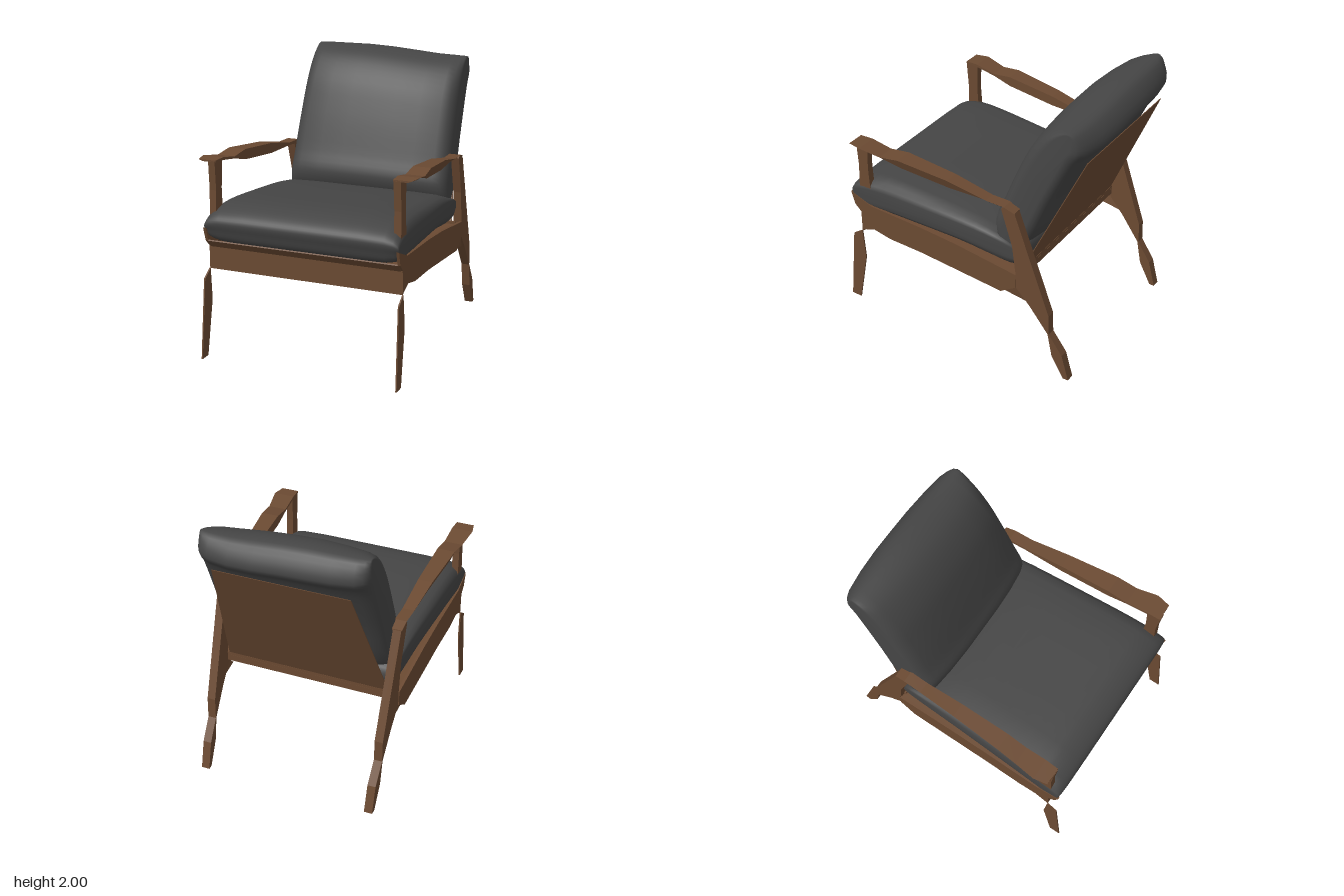
import * as THREE from 'three';

const wood = new THREE.MeshStandardMaterial({ color: 0x6b4a32, side: THREE.DoubleSide });
wood.name = 'walnut wood';
const fabric = new THREE.MeshStandardMaterial({ color: 0x454545, side: THREE.DoubleSide });
fabric.name = 'charcoal fabric';

function add(group, name, geometry, material) {
  const mesh = new THREE.Mesh(geometry, material);
  mesh.name = name;
  group.add(mesh);
}

// Skin a list of equal rings of [x, y, z] and close both ends
function loft(rings) {
  const n = rings[0].length, pos = rings.flat(2), idx = [];
  for (let i = 0; i < rings.length - 1; i++) {
    for (let j = 0; j < n; j++) {
      const k = (j + 1) % n, a = i * n + j, b = i * n + k;
      idx.push(a, b, b + n, a, b + n, a + n);
    }
  }
  [0, rings.length - 1].forEach((r, end) => {
    const c = pos.length / 3;
    for (let q = 0; q < 3; q++) pos.push(rings[r].reduce((s, p) => s + p[q], 0) / n);
    for (let j = 0; j < n; j++) {
      const a = r * n + j, b = r * n + (j + 1) % n;
      idx.push(c, ...(end ? [a, b] : [b, a]));
    }
  });
  const g = new THREE.BufferGeometry();
  g.setAttribute('position', new THREE.Float32BufferAttribute(pos, 3));
  g.setIndex(idx);
  g.computeVertexNormals();
  return g;
}

function flat(g) {
  const f = g.toNonIndexed();
  f.computeVertexNormals();
  return f;
}

// Plate cut from a [z, y] outline, placed sideways by the rule xAt(z, y)
function plate(outline, thick, xAt) {
  const g = new THREE.ExtrudeGeometry(
    new THREE.Shape(outline.map(p => new THREE.Vector2(...p))),
    { depth: thick, bevelEnabled: false });
  g.translate(0, 0, -thick / 2).rotateY(-Math.PI / 2);
  const p = g.attributes.position;
  for (let i = 0; i < p.count; i++) p.setX(i, p.getX(i) + xAt(p.getZ(i), p.getY(i)));
  g.computeVertexNormals();
  return g;
}

// Pillow: a [z, y] side profile swept across x; ends lists [position, thickness]
function pillow(profile, ends, centre, slope, halfWidth, adjust) {
  const curve = new THREE.CatmullRomCurve3(
    profile.map(([z, y]) => new THREE.Vector3(0, y, z)), true);
  const pts = curve.getPoints(56).slice(0, -1);
  const stations = [...ends.map(([t, s]) => [-t, s]), [0, 1], ...ends.slice().reverse()];
  const nz = Math.cos(slope), ny = Math.sin(slope);
  return loft(stations.map(([t, s]) => pts.map(p => {
    const dz = p.z - centre[0], dy = p.y - centre[1];
    const thick = (dz * nz + dy * ny) * s;
    const along = (-dz * ny + dy * nz) * (1 - (1 - s) * 0.04);
    const z = centre[0] + thick * nz - along * ny;
    const y = centre[1] + thick * ny + along * nz;
    const x = t * halfWidth(z, y);
    return [x, y + adjust(x, y), z];
  })));
}

export function createModel() {
  const chair = new THREE.Group();
  chair.name = 'lounge chair';

  // Cushions
  add(chair, 'seatCushion', pillow(
    [[0.72, 1.11], [0.87, 1.055], [0.915, 1.0], [0.9, 0.93], [0.86, 0.85], [0.5, 0.83], [0, 0.81],
      [-0.44, 0.765], [-0.49, 0.83], [-0.47, 0.93], [-0.25, 1.03], [0.2, 1.09]],
    [[1, 0.45], [0.985, 0.65], [0.94, 0.82], [0.85, 0.95], [0.6, 1], [0.3, 1]],
    [0.2, 0.94], Math.PI / 2, z => 0.67 + 0.05 * z, () => 0), fabric);
  add(chair, 'backCushion', pillow(
    [[-0.63, 1.95], [-0.49, 1.8], [-0.38, 1.57], [-0.27, 1.27], [-0.215, 1.11], [-0.27, 0.98],
      [-0.42, 0.93], [-0.55, 0.98], [-0.73, 1.4], [-0.89, 1.74], [-0.96, 1.84], [-0.88, 1.98], [-0.78, 2.0]],
    [[1, 0.4], [0.985, 0.58], [0.94, 0.72], [0.85, 0.84], [0.6, 0.95], [0.3, 1]],
    [-0.57, 1.45], 0.4, (z, y) => 0.65 - 0.025 * y,
    (x, y) => -0.04 * Math.max(0, y - 1) * (x > -0.1 ? Math.min(1, (x + 0.1) * 2) : 0)), fabric);

  for (const s of [1, -1]) {
    const side = new THREE.Group();
    side.name = s > 0 ? 'leftFrame' : 'rightFrame';
    chair.add(side);

    // Side rail, sweeping up at the front corner
    add(side, 'sideRail', plate(
      [[0.83, 0.64], [0.83, 0.8], [0.88, 0.85], [0.91, 0.95], [0.84, 0.92], [0.74, 0.88], [0.3, 0.86],
        [0, 0.835], [-0.49, 0.77], [-0.49, 0.66], [-0.37, 0.58], [0.3, 0.64], [0.58, 0.65], [0.72, 0.68]],
      0.02, z => s * (0.69 + 0.02 * z)), wood);

    // Slanted brace between rail and back leg
    add(side, 'rearBrace', plate(
      [[-0.36, 0.58], [-0.485, 0.665], [-0.6, 0.54], [-0.54, 0.555]],
      0.012, (z, y) => s * (0.675 - 0.2 * (0.665 - y))), wood);

    // Front post and thin front leg
    add(side, 'frontPost', plate(
      [[0.84, 0.9], [0.83, 1.2], [0.845, 1.405], [0.74, 1.4], [0.75, 1.2], [0.73, 0.87]],
      0.05, (z, y) => s * (0.68 - 0.01 * (y - 0.9))), wood);
    add(side, 'frontLeg', plate(
      [[0.83, 0.635], [0.91, 0.58], [0.965, 0], [0.885, 0], [0.81, 0.4]],
      0.01, (z, y) => s * (0.727 - 0.015 * y)), wood);

    // Back leg: tapering upright, pinched above the foot
    add(side, 'backLeg', plate(
      [[-0.4, 1.3], [-0.48, 1.27], [-0.75, 0.51], [-0.755, 0.35], [-0.86, 0.2], [-0.915, 0],
        [-0.875, 0], [-0.78, 0.17], [-0.745, 0.35], [-0.6, 0.54], [-0.485, 0.665], [-0.49, 0.76], [-0.46, 1.0], [-0.375, 1.28]],
      0.06, (z) => s * (0.655 + 0.05 * (z + 0.48))), wood);

    // Sculpted armrest: z, top, bottom, inner x, outer x
    const arm = [[-0.48, 1.275, 1.265, 0.61, 0.69], [-0.4, 1.302, 1.275, 0.61, 0.695], [-0.26, 1.305, 1.285, 0.615, 0.7],
      [0.04, 1.365, 1.29, 0.62, 0.725], [0.43, 1.405, 1.33, 0.63, 0.76], [0.58, 1.385, 1.37, 0.635, 0.77],
      [0.74, 1.415, 1.395, 0.64, 0.795], [0.84, 1.412, 1.4, 0.645, 0.775]];
    add(side, 'armrest', flat(loft(arm.map(([z, top, bot, xi, xo]) => {
      const ring = [[xi, bot], [xo - 0.03, bot], [xo, top], [xi, top]].map(([x, y]) => [s * x, y, z]);
      return s > 0 ? ring : ring.reverse();
    }))), wood);
  }

  // Cross rails
  const apron = new THREE.BoxGeometry(1.43, 0.165, 0.016);
  add(chair, 'frontApron', apron.translate(0, 0.717, 0.824), wood);
  const lip = new THREE.BoxGeometry(1.41, 0.075, 0.01);
  add(chair, 'frontLip', lip.rotateX(0.75).translate(0, 0.825, 0.853), wood);
  const rear = new THREE.BoxGeometry(1.28, 0.07, 0.02);
  add(chair, 'backRail', rear.translate(0, 0.73, -0.485), wood);

  // Thin panels under the seat and behind the back
  const panel = (pts) => flat(loft([0, 0.006].map(d => pts.map(([x, y, z]) => [x, y, z - d]))));
  add(chair, 'backPanel', panel(
    [[-0.61, 0.76, -0.485], [0.61, 0.76, -0.485], [0.49, 1.72, -0.905], [-0.49, 1.72, -0.905]].reverse()), wood);
  add(chair, 'seatPanel', panel(
    [[-0.7, 0.8, 0.82], [0.7, 0.8, 0.82], [0.67, 0.745, -0.49], [-0.67, 0.745, -0.49]].reverse()), wood);
  return chair;
}
